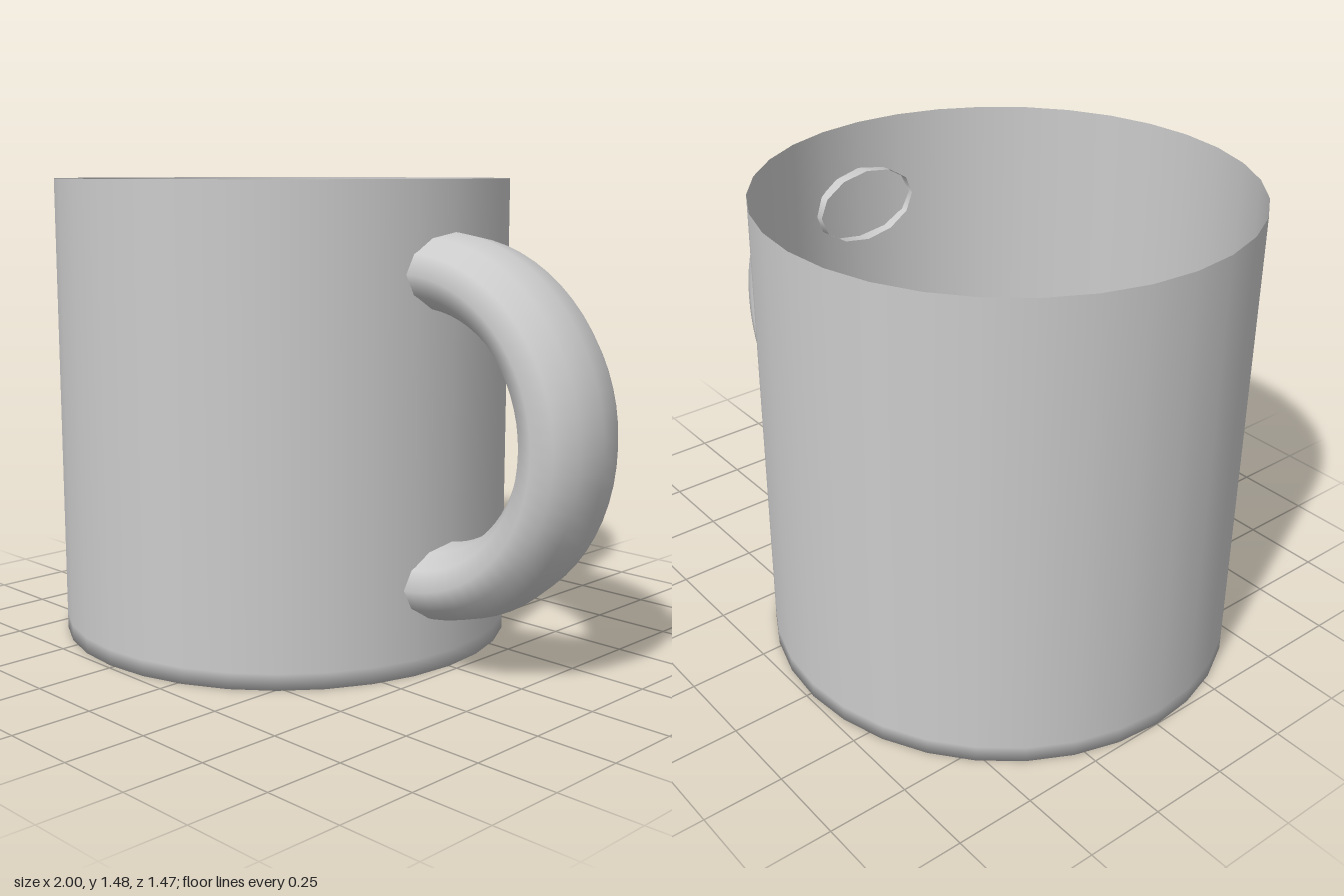
import * as THREE from 'three';

const CENTRE_X = -0.265; // axis of the cup
const RADIUS = 0.735;
const HEIGHT = 1.475;

export function createModel() {
  const model = new THREE.Group();
  model.name = 'mug';
  const material = new THREE.MeshStandardMaterial({ color: 0xcccccc, side: THREE.DoubleSide });

  // Thin-walled cup, open at the top, with softly shaded bottom edge
  const profile = [[0, 0], [RADIUS, 0], [RADIUS, 0.05], [RADIUS, HEIGHT]]
    .map(([r, y]) => new THREE.Vector2(r, y));
  const cup = new THREE.Mesh(new THREE.LatheGeometry(profile, 32), material);
  cup.name = 'cup';
  cup.position.x = CENTRE_X;
  model.add(cup);

  // Half-ring handle with an oval section, open ends just inside the wall
  const major = 0.468, minor = 0.118, halfWidth = 0.184;
  const ring = new THREE.TorusGeometry(major, minor, 12, 32, Math.PI);
  ring.rotateZ(-Math.PI / 2);
  ring.scale(0.985, 1, halfWidth / minor);
  const handle = new THREE.Mesh(ring, material);
  handle.name = 'handle';
  handle.position.set(0.423, 0.738, -0.003);
  handle.rotation.y = 0.03;
  model.add(handle);

  return model;
}
